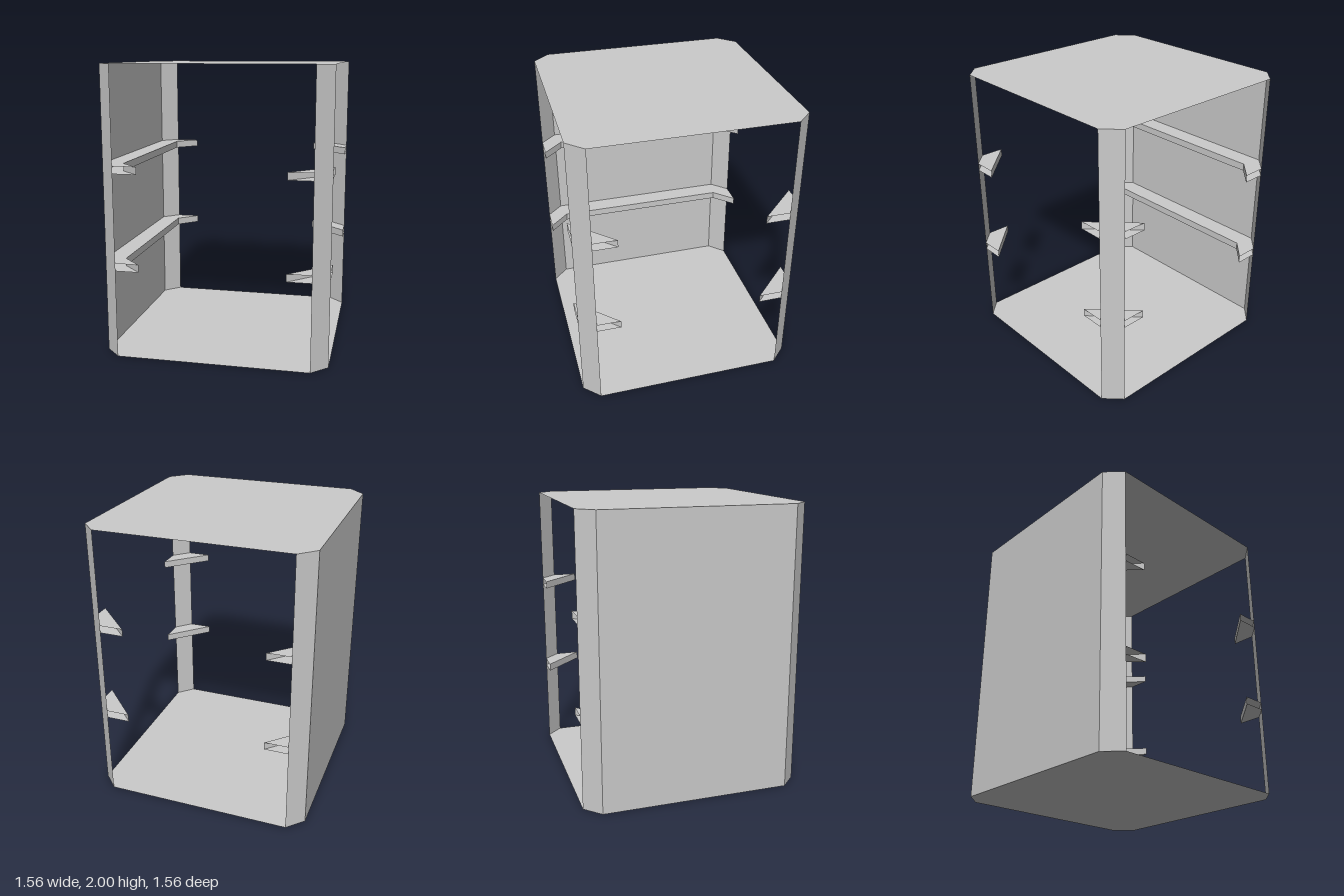
import * as THREE from 'three';

const OUT = 0.778;   // half width of the cabinet
const CUT = 0.667;   // where the corner chamfers begin
const TIP = 0.5;     // tips of the corner ledges
const RAIL = 0.639;  // inner edge of the wall rail
const HEIGHT = 2;
const LEDGES = [[0.614, 0.667], [1.281, 1.333]];

const material = new THREE.MeshStandardMaterial({
  color: 0xcccccc, flatShading: true, side: THREE.DoubleSide,
});

// Flat horizontal sheet from [x, z] corners, facing up or down
function sheet(name, corners, y, up) {
  const s = up ? -1 : 1;
  const shape = new THREE.Shape(corners.map(([x, z]) => new THREE.Vector2(x, s * z)));
  const geometry = new THREE.ShapeGeometry(shape).rotateX(s * Math.PI / 2);
  const mesh = new THREE.Mesh(geometry, material);
  mesh.name = name;
  mesh.position.y = y;
  return mesh;
}

// Upright sheet between two [x, z] points; it faces +z when a to b runs along +x
function upright(name, a, b, y0, y1) {
  const dx = b[0] - a[0], dz = b[1] - a[1];
  const mesh = new THREE.Mesh(new THREE.PlaneGeometry(Math.hypot(dx, dz), y1 - y0), material);
  mesh.name = name;
  mesh.position.set((a[0] + b[0]) / 2, (y0 + y1) / 2, (a[1] + b[1]) / 2);
  mesh.rotation.y = -Math.atan2(dz, dx);
  return mesh;
}

// Hollow ledge: top and bottom sheets plus the inner edge faces, open at the ends
function ledge(name, outer, inner, y0, y1) {
  const group = new THREE.Group();
  group.name = name;
  const outline = [...outer, ...inner];
  group.add(sheet('ledgeTop', outline, y1, true), sheet('ledgeBottom', outline, y0, false));
  for (let i = 0; i + 1 < inner.length; i++) {
    group.add(upright('ledgeEdge', inner[i], inner[i + 1], y0, y1));
  }
  return group;
}

export function createModel() {
  const model = new THREE.Group();
  model.name = 'openCabinet';

  // Top and bottom plates with chamfered corners
  const octagon = [
    [-CUT, OUT], [CUT, OUT], [OUT, CUT], [OUT, -CUT],
    [CUT, -OUT], [-CUT, -OUT], [-OUT, -CUT], [-OUT, CUT],
  ];
  model.add(sheet('topPlate', octagon, HEIGHT, true), sheet('bottomPlate', octagon, 0, false));

  // Four corner posts and the single side wall
  for (const i of [1, 3, 5, 7]) {
    model.add(upright('cornerPost', octagon[i], octagon[(i + 1) % 8], 0, HEIGHT));
  }
  model.add(upright('sideWall', octagon[6], octagon[7], 0, HEIGHT));

  for (const [y0, y1] of LEDGES) {
    // Rail along the wall, flaring at both ends
    model.add(ledge('wallRail',
      [[-CUT, -OUT], [-OUT, -CUT], [-OUT, CUT], [-CUT, OUT]],
      [[-TIP, OUT], [-RAIL, RAIL], [-RAIL, -RAIL], [-TIP, -OUT]], y0, y1));
    // Corner ledges on the open side
    for (const s of [1, -1]) {
      model.add(ledge(s > 0 ? 'frontCornerLedge' : 'backCornerLedge',
        [[CUT, s * OUT], [OUT, s * CUT]],
        [[OUT, s * TIP], [TIP, s * OUT]], y0, y1));
    }
  }
  return model;
}
